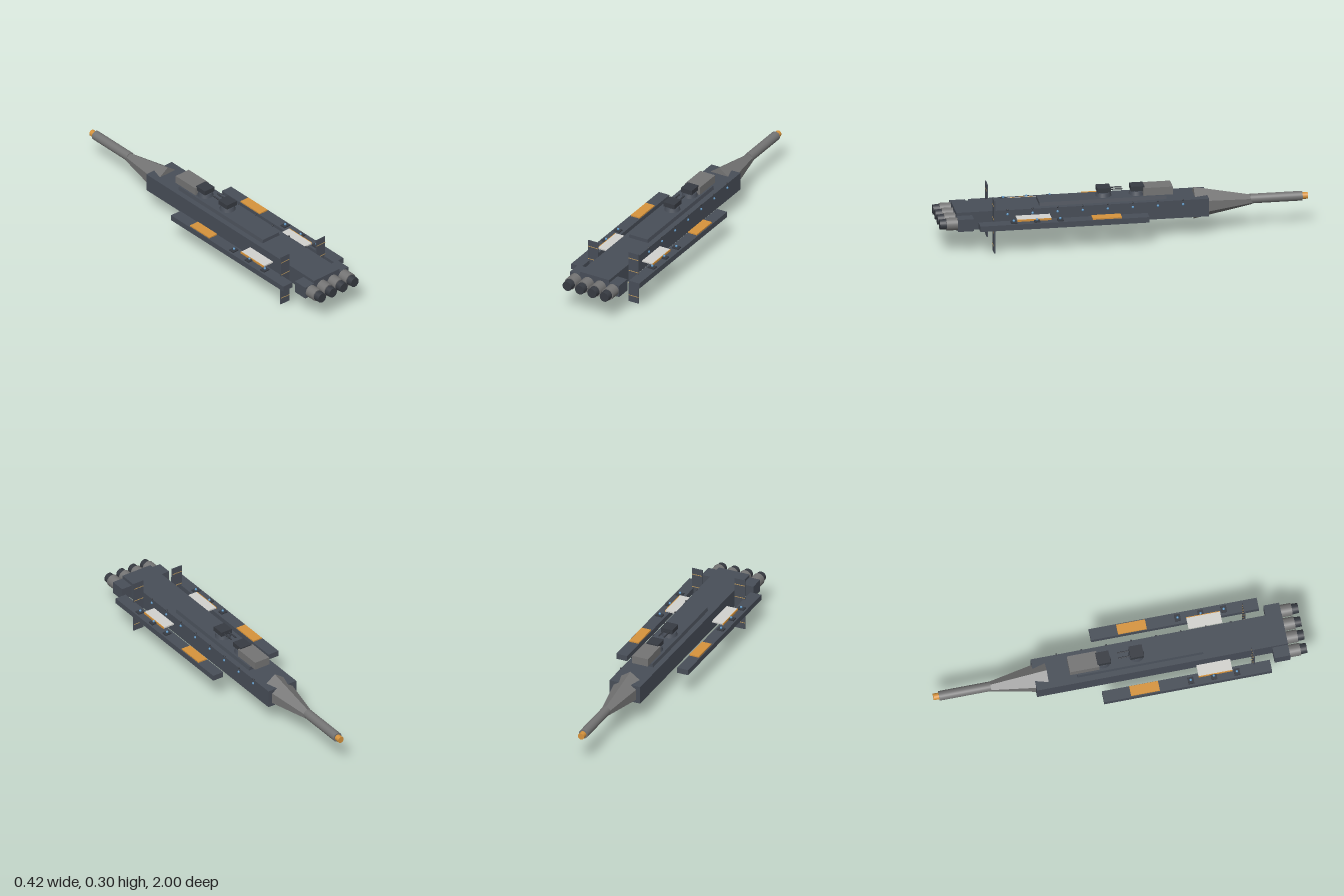
import * as THREE from 'three';

export function createModel() {
  const model = new THREE.Group();
  const paint = (name, color) => {
    const m = new THREE.MeshStandardMaterial({ color });
    m.name = name;
    return m;
  };
  const hull = paint('hull slate', 0x484e58);
  const dark = paint('dark metal', 0x373b42);
  const grey = paint('gun grey', 0x747474);
  const orange = paint('orange', 0xd6933c);
  const tan = paint('tan stripe', 0xb8965c);
  const white = paint('white panel', 0xd2d2ce);
  const blue = paint('blue lamp', 0x5b93c0);
  const prowGrey = grey.clone();
  prowGrey.name = 'prow grey';
  prowGrey.flatShading = true;

  const add = (name, geo, mat, x, y, z) => {
    const mesh = new THREE.Mesh(geo, mat);
    mesh.name = name;
    mesh.position.set(x, y, z);
    model.add(mesh);
    return mesh;
  };
  // box given by its limits on each axis
  const box = (name, mat, x0, x1, y0, y1, z0, z1) =>
    add(name, new THREE.BoxGeometry(Math.abs(x1 - x0), y1 - y0, z1 - z0), mat,
      (x0 + x1) / 2, (y0 + y1) / 2, (z0 + z1) / 2);
  // cylinder along z, with a radius at each end
  const tubeZ = (name, mat, x, y, z0, z1, r0, r1, sides = 24) =>
    add(name, new THREE.CylinderGeometry(r1, r0, z1 - z0, sides).rotateX(Math.PI / 2),
      mat, x, y, (z0 + z1) / 2);
  const ball = (name, mat, r, x, y, z) =>
    add(name, new THREE.SphereGeometry(r, 12, 8), mat, x, y, z);

  // main hull and raised deck
  box('hull', hull, -0.09, 0.09, 0.117, 0.217, -0.455, 0.905);
  const deck = box('deck', hull, -0.06, 0.06, 0.217, 0.237, -0.23, 0.452);
  const p = deck.geometry.attributes.position;
  for (let i = 0; i < p.count; i++) if (p.getY(i) > 0) p.setX(i, p.getX(i) * 0.93);
  deck.geometry.computeVertexNormals();
  box('bridge', grey, -0.046, 0.046, 0.237, 0.281, -0.267, -0.108);

  // six-sided prow tapering into the gun barrel
  const prow = new THREE.CylinderGeometry(0.09, 0.027, 0.315, 6).rotateX(Math.PI / 2);
  const q = prow.attributes.position;
  for (let i = 0; i < q.count; i++) {
    if (Math.abs(q.getX(i)) > 0.01) q.setY(i, q.getY(i) * 0.8);
  }
  prow.computeVertexNormals();
  add('prow', prow, prowGrey, 0, 0.165, -0.5425);
  tubeZ('gunBarrel', grey, 0, 0.17, -0.97, -0.69, 0.026, 0.026);
  tubeZ('gunMuzzle', orange, 0, 0.17, -1, -0.965, 0.018, 0.018);

  // twin-barrelled turrets
  for (const z of [-0.08, 0.1]) {
    add('turretBase', new THREE.CylinderGeometry(0.037, 0.043, 0.02, 20), hull, 0, 0.247, z);
    add('turretNeck', new THREE.CylinderGeometry(0.025, 0.025, 0.01, 16), dark, 0, 0.26, z);
    box('turretHead', dark, -0.034, 0.034, 0.262, 0.288, z - 0.036, z + 0.036);
    for (const x of [-0.015, 0.015]) tubeZ('turretBarrel', dark, x, 0.274, z - 0.1, z - 0.03, 0.004, 0.004, 8);
  }

  for (const s of [-1, 1]) {
    // engine block and engines
    box('engineBlock', hull, s * 0.085, s * 0.152, 0.132, 0.2, 0.82, 0.905);
    for (const [x, z] of [[0.038, 0.9], [0.115, 0.87]]) {
      tubeZ('engine', grey, s * x, 0.166, z, 0.965, 0.034, 0.034);
      tubeZ('engineNozzle', dark, s * x, 0.166, 0.96, 1, 0.029, 0.027);
    }

    // side pods with pads and tilted-free panels
    box('sidePod', hull, s * 0.147, s * 0.211, 0.147, 0.178, -0.115, 0.795);
    box('orangePad', orange, s * 0.15, s * 0.205, 0.178, 0.185, 0.032, 0.188);
    box('whitePanel', white, s * 0.105, s * 0.168, 0.181, 0.189, 0.405, 0.588);
    box('panelTrim', orange, s * 0.168, s * 0.172, 0.178, 0.189, 0.405, 0.588);
    for (const z of [0.36, 0.485, 0.61]) {
      box('lampBase', dark, s * 0.162, s * 0.2, 0.178, 0.184, z - 0.016, z + 0.016);
      ball('podLamp', blue, 0.007, s * 0.18, 0.189, z);
    }

    // upright radiator fin with stripes
    box('radiatorFin', hull, s * 0.094, s * 0.156, 0, 0.297, 0.706, 0.712);
    for (const y of [0.038, 0.113, 0.187, 0.262]) {
      box('radiatorStripe', tan, s * 0.0945, s * 0.1555, y - 0.002, y + 0.002, 0.705, 0.713);
    }
  }

  // row of lamps along the left side of the hull
  for (let i = 0; i < 8; i++) {
    const z = -0.315 + i * 0.135;
    ball('hullLamp', blue, 0.007, 0.091, 0.194, z);
    ball('hullStud', dark, 0.005, 0.09, 0.219, z);
  }

  return model;
}
